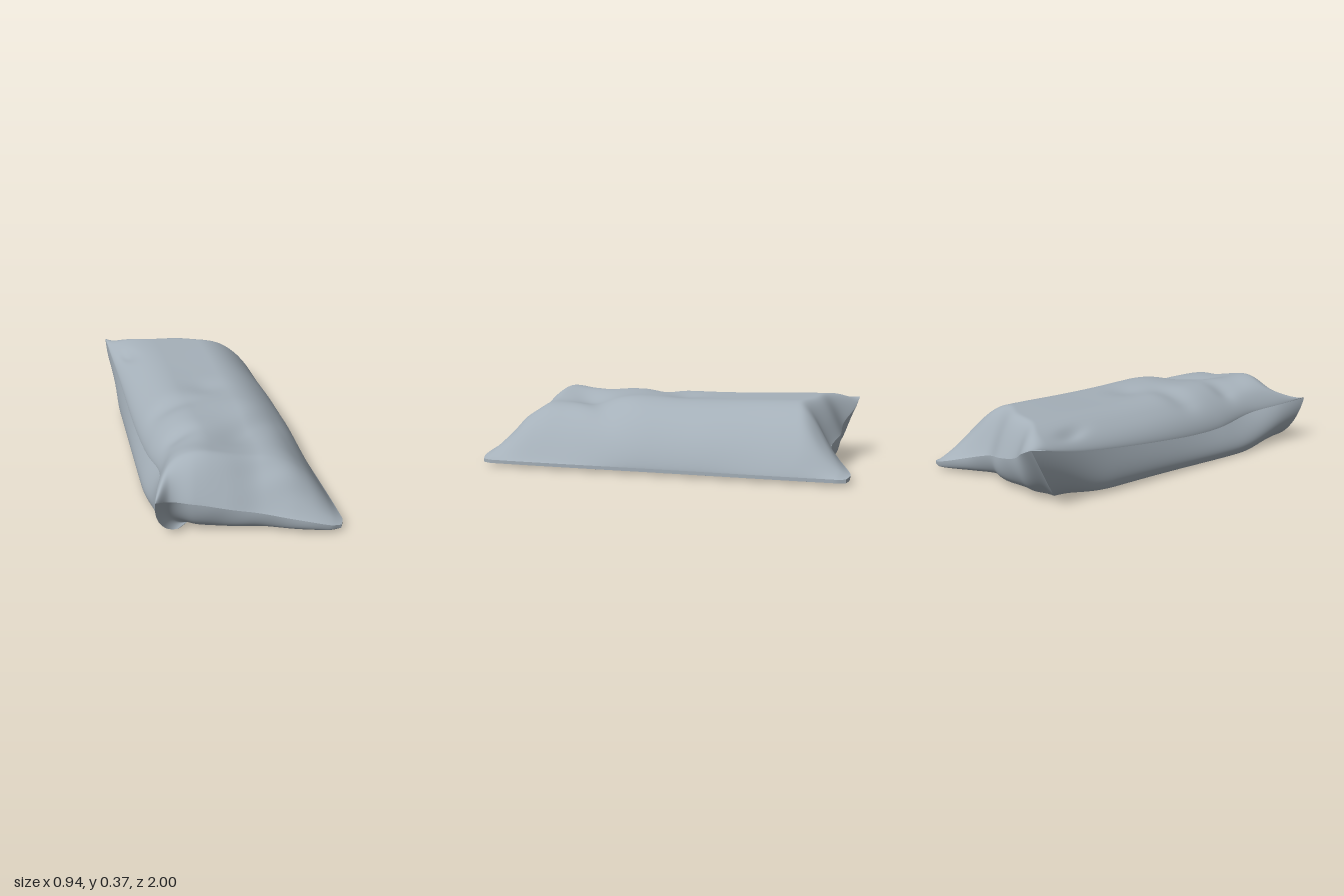
import * as THREE from 'three';

const { lerp, smoothstep, clamp } = THREE.MathUtils;

// Smooth interpolation through a few [position, value] points.
function curve(points) {
  return (p) => {
    let i = 0;
    while (i < points.length - 2 && p > points[i + 1][0]) i++;
    const [a, b] = [points[i], points[i + 1]];
    const t = clamp((p - a[0]) / (b[0] - a[0]), 0, 1);
    const slope = (k) => {
      const l = points[Math.max(k - 1, 0)], r = points[Math.min(k + 1, points.length - 1)];
      return (r[1] - l[1]) / (r[0] - l[0]) * (b[0] - a[0]);
    };
    const t2 = t * t, t3 = t2 * t;
    return (2 * t3 - 3 * t2 + 1) * a[1] + (t3 - 2 * t2 + t) * slope(i)
      + (3 * t2 - 2 * t3) * b[1] + (t3 - t2) * slope(i + 1);
  };
}

// Seam outline: s runs 0..1 from left to right in x, v runs -1..1 from back to front.
const leftX = curve([[-1, -0.472], [-0.6, -0.445], [0, -0.43], [0.35, -0.41], [0.62, -0.385], [0.85, -0.435], [1, -0.465]]);
const leftY = curve([[-1, 0.33], [-0.65, 0.25], [-0.1, 0.19], [0.3, 0.17], [0.65, 0.205], [1, 0.245]]);
const rightX = curve([[-1, 0.445], [-0.94, 0.462], [0, 0.466], [0.94, 0.468], [1, 0.445]]);
const frontZ = curve([[0, 0.94], [0.09, 0.86], [0.22, 0.875], [0.4, 0.905], [0.56, 0.92], [0.75, 0.97], [0.93, 1], [1, 0.985]]);
const frontY = curve([[0, 0.245], [0.09, 0.195], [0.28, 0.165], [0.55, 0.115], [0.8, 0.075], [1, 0.035]]);
const backZ = curve([[0, -0.965], [0.12, -0.95], [0.27, -0.9], [0.45, -0.9], [0.62, -0.87], [0.75, -0.92], [0.93, -1], [1, -0.985]]);
const backY = curve([[0, 0.33], [0.12, 0.28], [0.3, 0.2], [0.5, 0.16], [0.7, 0.11], [0.88, 0.06], [1, 0.035]]);

const place = (s, v) => [lerp(leftX(v), rightX(v), s), lerp(backZ(s), frontZ(s), (v + 1) / 2)];

// Folds: [x, z, direction x, direction z, half length, half width, height]
const folds = [
  [0.14, 0.42, -0.45, 0.36, 0.28, 0.08, -0.025],
  [0.1, 0.79, -1, 0.2, 0.2, 0.06, -0.02],
  [0.25, 0.88, -1, 0.1, 0.15, 0.04, -0.01],
  [-0.02, -0.04, 1, 0, 0.1, 0.1, -0.014],
  [-0.24, 0.13, 1, -0.2, 0.14, 0.08, -0.02],
  [-0.28, 0.46, 1, -0.2, 0.1, 0.06, -0.018],
  [-0.26, 0.68, 1, 0.4, 0.14, 0.08, 0.01],
  [-0.39, -0.68, 0.4, 1, 0.1, 0.04, -0.025],
  [0.33, -0.86, 1, -0.8, 0.1, 0.05, -0.015],
  [0, -0.2, 1, 0, 0.4, 0.35, -0.014],
];

function foldHeight(x, z) {
  let h = 0;
  for (const [fx, fz, dx, dz, len, wid, amp] of folds) {
    const n = Math.hypot(dx, dz), px = x - fx, pz = z - fz;
    const along = (px * dx + pz * dz) / n / len, across = (pz * dx - px * dz) / n / wid;
    h += amp * Math.exp(-along * along - across * across);
  }
  // The cloth sags towards the front right.
  return h - 0.055 * smoothstep(z, 0.15, 0.6) * Math.exp(-(((x - 0.1) / 0.2) ** 2));
}

// Top cloth: full on the left, rounding down to the low right edge.
function topPoint(a, b) {
  const s = (1 - Math.cos(Math.PI * a)) / 2;
  const v = Math.sin(Math.PI * (b - 0.5));
  const [x, z] = place(s, v);
  let crown = 0.376;
  if (s > 0.58) {
    const slack = 0.75 + 0.45 * smoothstep(v, 0.05, 0.65) + 0.12 * smoothstep(-v, 0.2, 0.6);
    crown = 0.035 + 0.341 * Math.pow(Math.max(0, 1 - ((s - 0.58) / 0.42) ** 2), slack);
  } else if (s < 0.3) {
    crown = lerp(leftY(v), 0.376, Math.pow(Math.max(0, 1 - ((0.3 - s) / 0.3) ** 2), 0.65));
  }
  crown += foldHeight(x, z) * smoothstep(s, 0, 0.12) * (1 - smoothstep(s, 0.8, 1));
  // Ends rise steeply on the left and taper to thin tips on the right.
  const reach = v > 0 ? lerp(0.17, 0.29, s) : lerp(0.12, 0.29, s * s);
  const rise = clamp((1 - Math.abs(v)) / reach, 0, 1);
  const swell = Math.pow(Math.sin(rise * Math.PI / 2), lerp(0.8, 1.3, s));
  return [x, lerp(v > 0 ? frontY(s) : backY(s), crown, swell), z];
}

// Seam loop: front, right, back, left.
function seamPoint(c) {
  const side = Math.min(3, Math.floor(c * 4)), t = (1 - Math.cos(Math.PI * (c * 4 - side))) / 2;
  const [s, v] = [[t, 1], [1, 1 - 2 * t], [1 - t, -1], [0, 2 * t - 1]][side];
  const [x, z] = place(s, v);
  const y = side === 0 ? frontY(s) : side === 2 ? backY(s) : side === 3 ? leftY(v) : 0.035;
  return { x, y, z, s, v };
}

// Underside: rounded walls drop from the seam to a flat base, which closes to the middle.
function undersidePoint(c, r) {
  const { x, y, z, s, v } = seamPoint(c);
  const f = Math.min(1, r / 0.7);
  const drop = Math.sin(f * Math.PI / 2), under = 1 - Math.cos(f * Math.PI / 2);
  const floor = 0.017 - 0.016 * (1 - smoothstep(s, 0, 0.25)) * Math.exp(-(((v - 0.5) / 0.5) ** 2));
  const tall = (y - 0.035) / 0.25;
  const end = smoothstep(Math.abs(v), 0.45, 1);
  const left = 1 - smoothstep(s, 0, 0.35);
  // Lower corners are drawn in under the ends.
  const tuck = tall * end * (v > 0 ? 0.15 : 0.18) * lerp(under, drop, left * 0.7)
    + 0.012 * Math.sin(s * 22) * Math.sin(Math.PI * f) * smoothstep(Math.abs(v), 0.9, 1) * tall;
  const bulge = left * ((0.47 + leftX(v)) * Math.sin(Math.min(1, f * 1.6) * Math.PI / 2)
    - under * (0.035 + 0.1 * end));
  const close = r > 0.7 ? 1 - (r - 0.7) / 0.3 : 1;
  return [
    (x - bulge) * close,
    lerp(y, floor, drop) * close + 0.017 * (1 - close),
    (z - Math.sign(v) * tuck) * close,
  ];
}

// Smooth sheet from a point rule.
function sheet(cols, rows, rule) {
  const pos = [], index = [];
  for (let j = 0; j <= rows; j++)
    for (let i = 0; i <= cols; i++) pos.push(...rule(i / cols, j / rows));
  for (let j = 0; j < rows; j++)
    for (let i = 0; i < cols; i++) {
      const a = j * (cols + 1) + i, b = a + cols + 1;
      index.push(a, b, a + 1, a + 1, b, b + 1);
    }
  const geo = new THREE.BufferGeometry();
  geo.setAttribute('position', new THREE.Float32BufferAttribute(pos, 3));
  geo.setIndex(index);
  geo.computeVertexNormals();
  return geo;
}

export function createModel() {
  const cloth = new THREE.MeshStandardMaterial({ color: 0xa5b0b9, side: THREE.DoubleSide });
  cloth.name = 'grey cloth';
  const group = new THREE.Group();
  group.name = 'pillow';
  const add = (name, geo) => {
    const mesh = new THREE.Mesh(geo, cloth);
    mesh.name = name;
    group.add(mesh);
  };
  add('topCloth', sheet(90, 140, topPoint));
  add('underside', sheet(320, 40, undersidePoint));
  return group;
}
